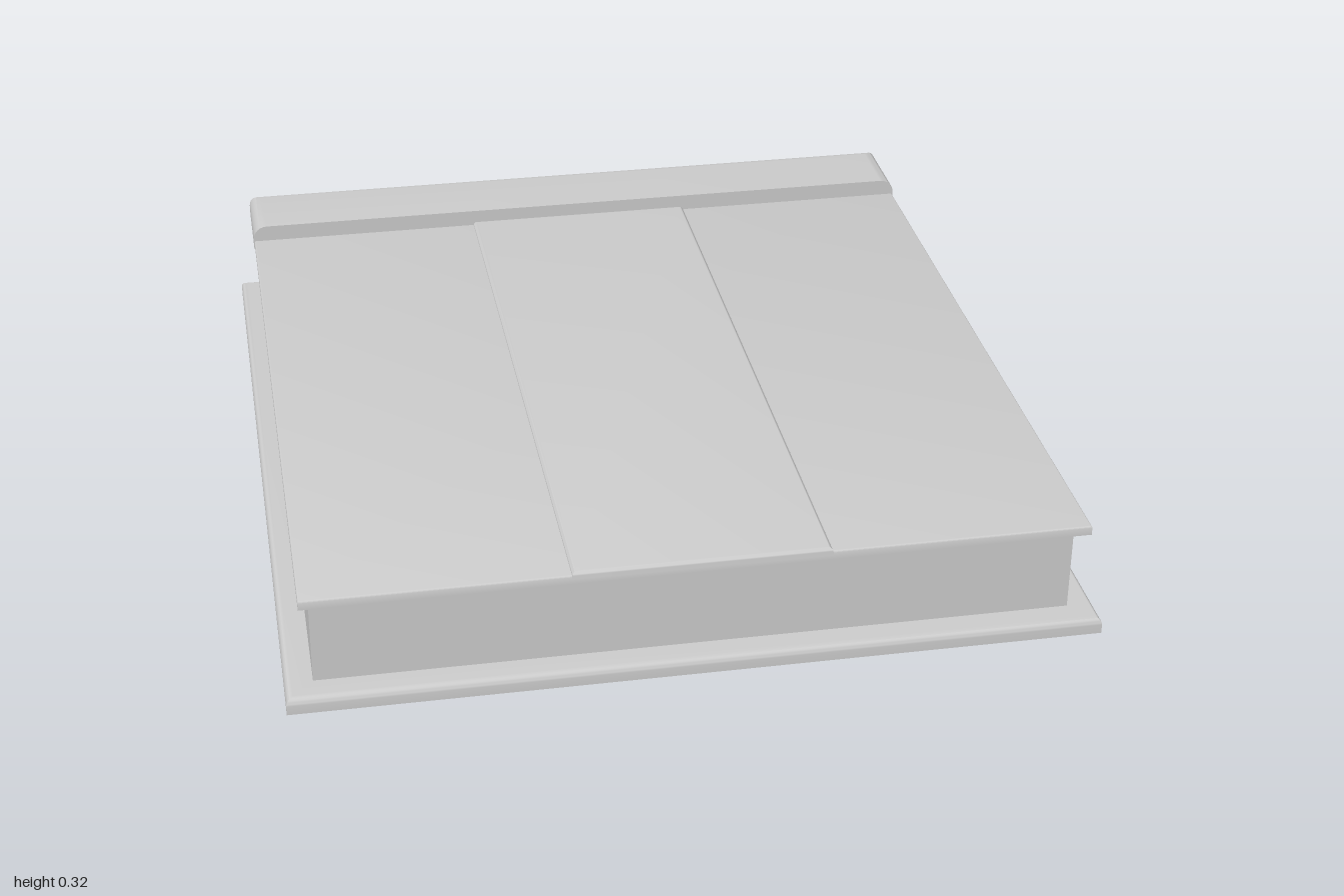
import * as THREE from 'three';
import { toCreasedNormals } from 'three/addons/utils/BufferGeometryUtils.js';

const material = new THREE.MeshStandardMaterial({ color: 0xcccccc, side: THREE.DoubleSide });

// Rectangular loop at height y, anticlockwise from above
const loop = (x0, x1, zBack, zFront, y) =>
  [[x0, y, zFront], [x1, y, zFront], [x1, y, zBack], [x0, y, zBack]];

// Skin successive loops, either capped at both ends or closed into a ring
function loft(loops, ring) {
  const positions = [];
  const quad = (a, b, c, d) => positions.push(...a, ...b, ...c, ...a, ...c, ...d);
  const last = loops.length - 1;
  for (let k = 0; k < (ring ? loops.length : last); k++) {
    const lower = loops[k], upper = loops[(k + 1) % loops.length];
    for (let i = 0; i < 4; i++) {
      const j = (i + 1) % 4;
      quad(lower[i], lower[j], upper[j], upper[i]);
    }
  }
  if (!ring) {
    quad(...[...loops[0]].reverse());
    quad(...loops[last]);
  }
  const geometry = new THREE.BufferGeometry();
  geometry.setAttribute('position', new THREE.Float32BufferAttribute(positions, 3));
  geometry.computeVertexNormals();
  return toCreasedNormals(geometry, 0.6);
}

// Outline loops of a slab whose upper edges are rounded by r;
// back and front say whether those edges are rounded too
function slabLoops(x, zBack, zFront, y0, y1, r, back = 1, front = 1) {
  const loops = [loop(-x, x, zBack, zFront, y0)];
  const steps = r > 0 ? 6 : 0;
  for (let i = 0; i <= steps; i++) {
    const a = steps ? (i / steps) * Math.PI / 2 : 0;
    const inset = r * (1 - Math.cos(a));
    loops.push(loop(-x + inset, x - inset, zBack + inset * back, zFront - inset * front,
      y1 - r + r * Math.sin(a)));
  }
  return loops;
}

export function createModel() {
  const group = new THREE.Group();
  const add = (name, geometry) => {
    const mesh = new THREE.Mesh(geometry, material);
    mesh.name = name;
    group.add(mesh);
    return mesh;
  };

  // Mounting flange, open in the middle
  add('baseFlange', loft([
    loop(-0.83, 0.83, -0.91, 0.91, 0),
    ...slabLoops(0.915, -1, 1, 0, 0.038, 0.016),
    loop(-0.83, 0.83, -0.91, 0.91, 0.038),
  ], true));

  // Upright frame walls
  add('curb', loft([
    loop(-0.83, 0.83, -0.915, 0.915, 0.03),
    loop(-0.852, 0.852, -0.935, 0.935, 0.03),
    loop(-0.852, 0.852, -0.935, 0.935, 0.262),
    loop(-0.83, 0.83, -0.915, 0.915, 0.262),
  ], true));

  // Flat lid overhanging the frame
  add('coverPlate', loft(slabLoops(0.875, -0.955, 0.985, 0.257, 0.279, 0.004)));

  // Slightly raised middle strip
  add('centrePanel', loft(slabLoops(0.288, -0.76, 0.987, 0.27, 0.288, 0.012)));

  // Raised bar across the back, rounded on its back and side edges
  add('backBar', loft(slabLoops(0.877, -0.968, -0.753, 0.257, 0.32, 0.036, 1, 0)));

  return group;
}
